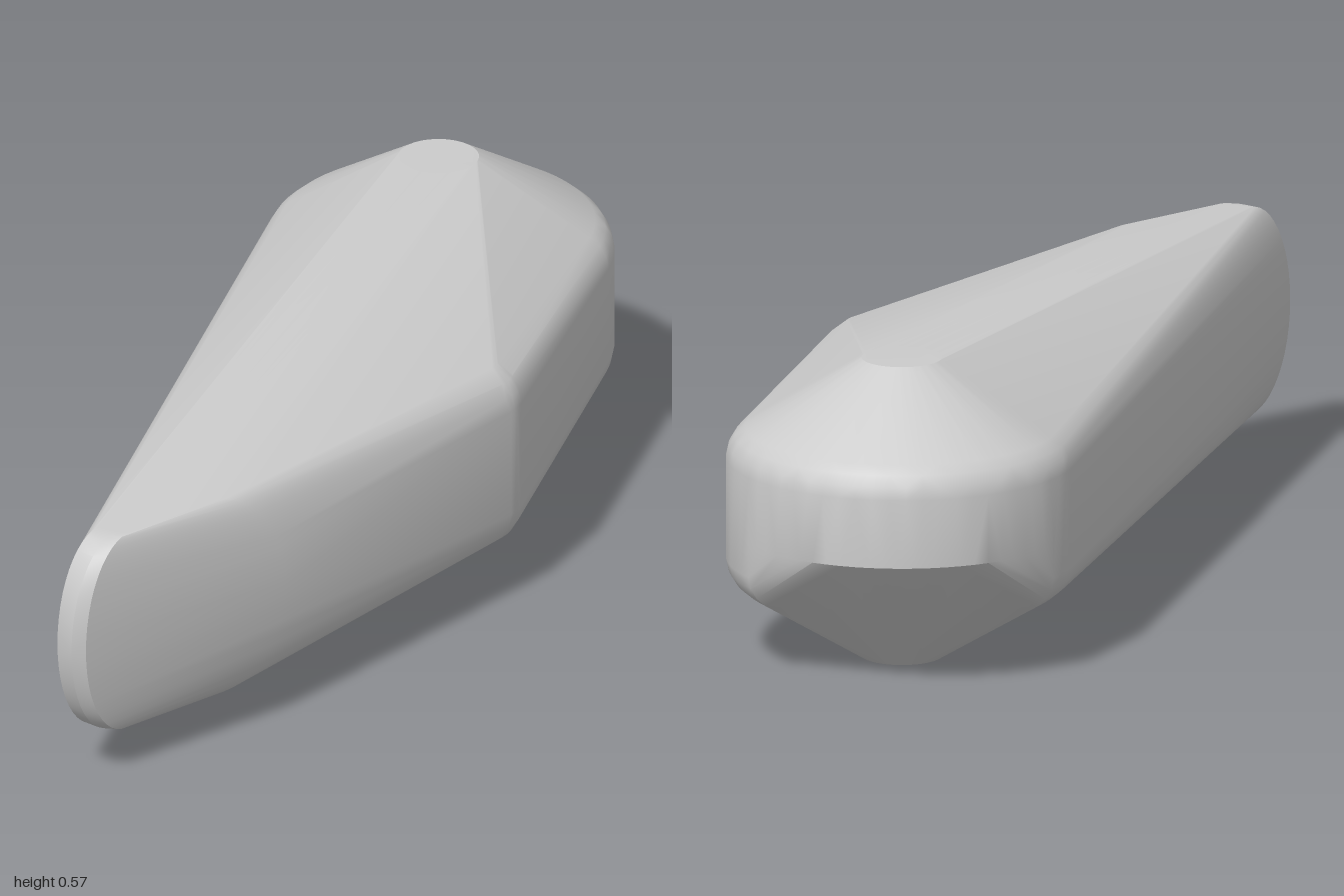
import * as THREE from 'three';
import { ConvexGeometry } from 'three/addons/geometries/ConvexGeometry.js';
import { mergeVertices, toCreasedNormals } from 'three/addons/utils/BufferGeometryUtils.js';

const MID_Y = 0.285;

// Points on an arc of a horizontal ring; 0 degrees is +x, 90 degrees is the back (-z)
function addArc(points, [cx, cz], radius, y, from, to, steps) {
  for (let i = 0; i <= steps; i++) {
    const a = THREE.MathUtils.degToRad(from + (to - from) * i / steps);
    points.push(new THREE.Vector3(cx + radius * Math.cos(a), y, cz - radius * Math.sin(a)));
  }
}

// Upright half ellipse from the top, out to a tip, to the bottom
function addHalfRim(points, x, z, dx, dz, steps = 24) {
  for (let i = 0; i <= steps; i++) {
    const a = Math.PI * i / steps;
    const out = Math.sin(a);
    points.push(new THREE.Vector3(x + dx * out, MID_Y + 0.198 * Math.cos(a), z + dz * out));
  }
}

function bodyPoints() {
  const points = [];

  // Rounded rear end: vertical band, soft shoulder, cone and small flat cap
  const rear = [0, -0.674];
  const profile = [[0.326, 0.095], [0.321, 0.118], [0.309, 0.138], [0.29, 0.154], [0.075, 0.285]];
  for (const [r, dy] of profile) {
    addArc(points, rear, r, MID_Y + dy, 0, 360, 64);
    if (r < 0.1) addArc(points, rear, r, MID_Y - dy, 0, 360, 64);
    else addArc(points, rear, r, MID_Y - dy, 165, 405, 44);
  }
  // Sharper, steeper cut under the back
  addArc(points, rear, 0.326, 0.25, 45, 165, 24);
  addArc(points, rear, 0.225, 0.14, 45, 165, 24);

  // Rounded corner halfway along the left side
  const corner = [0.2, -0.05];
  for (const [r, dy] of [[0.127, 0.105], [0.122, 0.132], [0.108, 0.156], [0.08, 0.178]]) {
    for (const s of [1, -1]) addArc(points, corner, r, MID_Y + s * dy, -26, 4, 6);
  }

  // Slanted front face and its rounded tip
  addHalfRim(points, -0.06, 0.7, 0.11, -0.09);
  addHalfRim(points, -0.18, 0.88, -0.05, 0.11);
  addHalfRim(points, -0.205, 0.88, -0.05, 0.12);
  addHalfRim(points, -0.24, 0.87, -0.05, 0.1);
  return points;
}

export function createModel() {
  const group = new THREE.Group();
  group.name = 'taperedBody';

  let geometry = new ConvexGeometry(bodyPoints());
  geometry.deleteAttribute('normal');
  geometry = toCreasedNormals(mergeVertices(geometry, 1e-4), 0.5);

  const body = new THREE.Mesh(geometry, new THREE.MeshStandardMaterial({ color: 0xcccccc }));
  body.name = 'body';
  group.add(body);
  return group;
}
